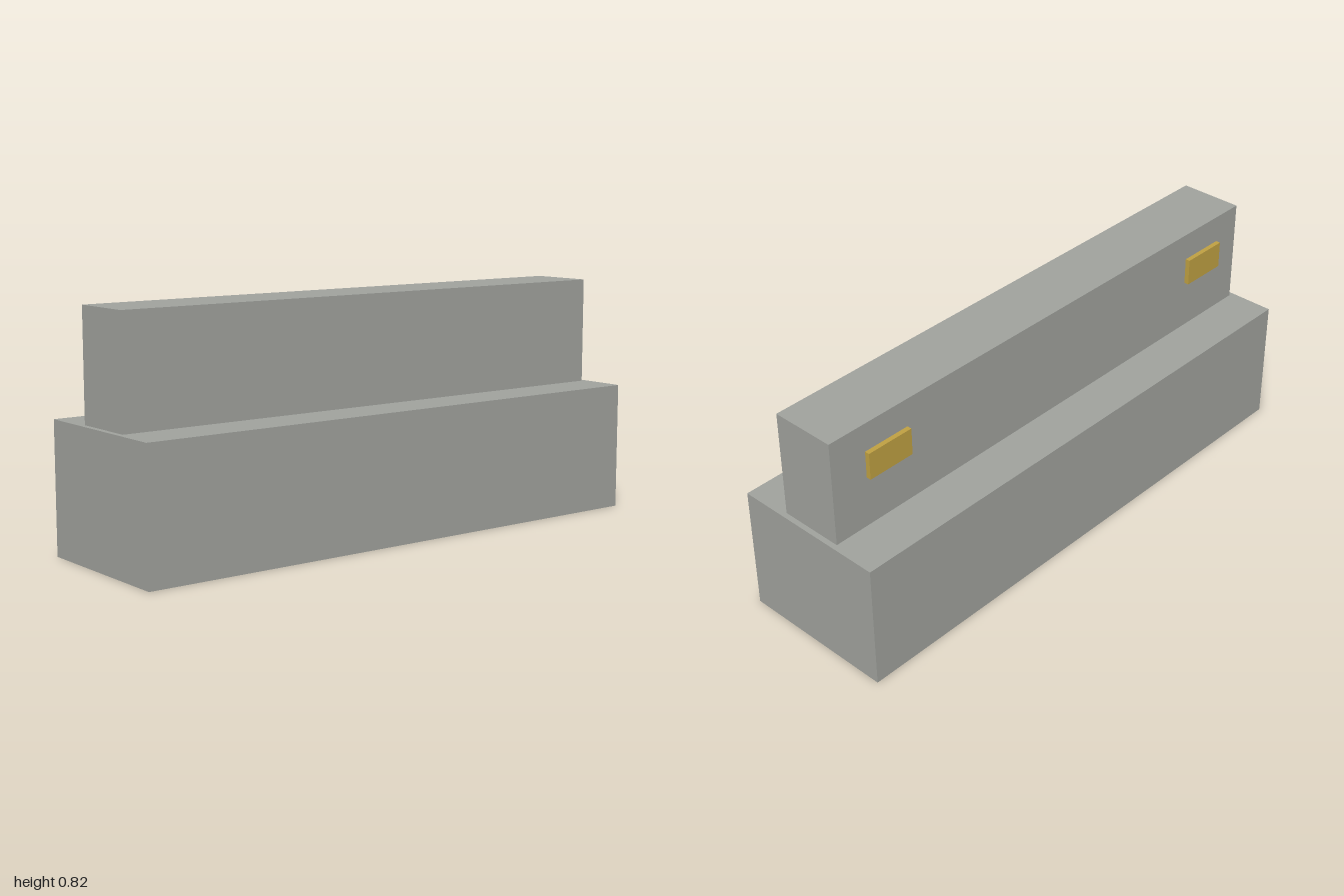
import * as THREE from 'three';

export function createModel() {
  const model = new THREE.Group();
  const stone = new THREE.MeshStandardMaterial({ color: 0xa0a29d });
  stone.name = 'grey stone';
  const brass = new THREE.MeshStandardMaterial({ color: 0xbfa042 });
  brass.name = 'brass';

  // Box given by its centre x, bottom y, centre z and size
  function addBox(name, material, [x, y, z], [w, h, d]) {
    const mesh = new THREE.Mesh(new THREE.BoxGeometry(w, h, d), material);
    mesh.name = name;
    mesh.position.set(x, y + h / 2, z);
    model.add(mesh);
  }

  // Wide base with a narrower wall on top
  addBox('base', stone, [0, 0, 0], [2, 0.449, 0.562]);
  addBox('upperWall', stone, [0, 0.449, 0], [1.962, 0.376, 0.23]);

  // Pair of plaques standing just off the back of the wall
  for (const side of [1, -1]) {
    addBox(side > 0 ? 'leftPlaque' : 'rightPlaque', brass,
      [side * 0.767, 0.641, -0.1355], [0.175, 0.096, 0.017]);
  }
  return model;
}
